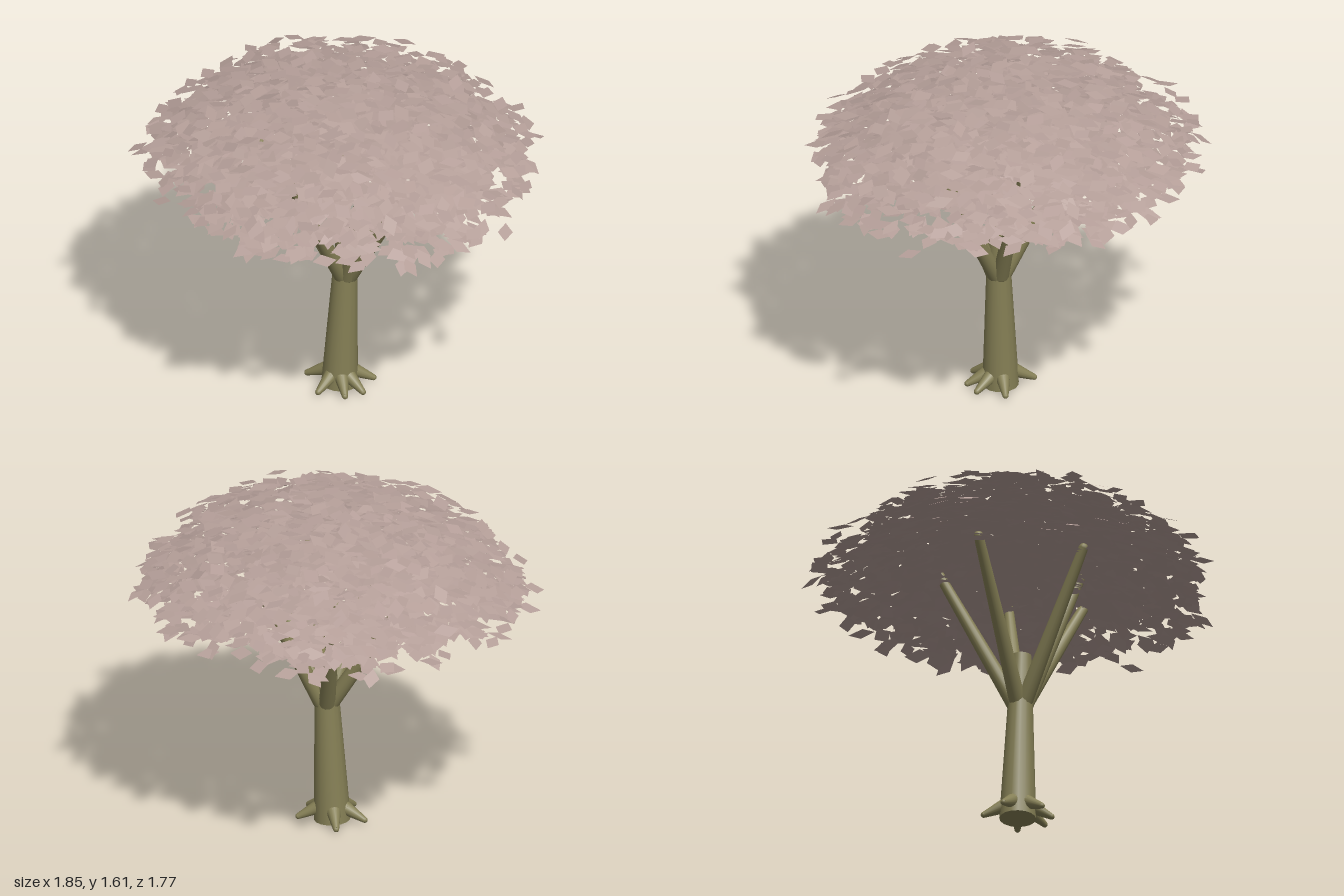
import * as THREE from 'three';
import { mergeGeometries } from 'three/addons/utils/BufferGeometryUtils.js';

const UP = new THREE.Vector3(0, 1, 0);

// Small seeded generator, 0..1
function seeded(seed) {
  return () => {
    seed = (seed + 0x6d2b79f5) | 0;
    let t = Math.imul(seed ^ (seed >>> 15), 1 | seed);
    t = (t + Math.imul(t ^ (t >>> 7), 61 | t)) ^ t;
    return ((t ^ (t >>> 14)) >>> 0) / 4294967296;
  };
}

// Tapered round limb between two points
function limb(name, from, to, r0, r1, material, roundTip = false) {
  const a = new THREE.Vector3(...from);
  const dir = new THREE.Vector3(...to).sub(a);
  const length = dir.length();
  const parts = [new THREE.CylinderGeometry(r1, r0, length, 16).translate(0, length / 2, 0)];
  if (roundTip) {
    parts.push(new THREE.SphereGeometry(r1, 12, 8).translate(0, length, 0));
    parts.push(new THREE.SphereGeometry(r0, 12, 8));
  }
  const mesh = new THREE.Mesh(mergeGeometries(parts), material);
  mesh.quaternion.setFromUnitVectors(UP, dir.normalize());
  mesh.position.copy(a);
  mesh.name = name;
  return mesh;
}

// Thousands of diamond leaves scattered through a shallow dome, tilting outward with it
function leafCanopy(count) {
  const rand = seeded(41);
  const spread = (s) => (rand() * 2 - 1) * s;
  const fuzz = (s) => spread(s) + spread(s);
  const positions = [];
  const tilt = new THREE.Quaternion();
  const spin = new THREE.Quaternion();
  const normal = new THREE.Vector3();
  while (positions.length < count * 18) {
    const r = Math.sqrt(rand());
    const angle = rand() * Math.PI * 2;
    const top = 1.6 - 0.36 * r ** 2.2;
    const bottom = 1.19 - 0.09 * r;
    const y = 1.1 + rand() * 0.5;
    if (y < bottom || y > top) continue;
    const c = Math.cos(angle), s = Math.sin(angle);
    const reach = r * (0.87 + 0.02 * Math.sin(5 * angle + 1));
    const centre = new THREE.Vector3(c * reach + fuzz(0.035), y + fuzz(0.022), s * reach * 0.95 + fuzz(0.035));
    normal.set(c * r * 0.35 + fuzz(0.14), 1, s * r * 0.35 + fuzz(0.14)).normalize();
    tilt.setFromUnitVectors(UP, normal);
    spin.setFromAxisAngle(UP, rand() * Math.PI * 2);
    const l = 0.058 + spread(0.009), w = 0.036 + spread(0.006);
    const corners = [[-l, 0], [0.1 * l, w], [l, 0], [-0.1 * l, -w]].map(
      ([x, z]) => new THREE.Vector3(x, 0, z).applyQuaternion(spin).applyQuaternion(tilt).add(centre));
    for (const i of [0, 1, 2, 0, 2, 3]) positions.push(...corners[i].toArray());
  }
  const geometry = new THREE.BufferGeometry();
  geometry.setAttribute('position', new THREE.Float32BufferAttribute(positions, 3));
  geometry.computeVertexNormals();
  return geometry;
}

export function createModel() {
  const bark = new THREE.MeshStandardMaterial({ color: 0x857f55 });
  bark.name = 'olive bark';
  const leaf = new THREE.MeshStandardMaterial({ color: 0xb59f99, side: THREE.DoubleSide });
  leaf.name = 'dusty pink leaf';

  const tree = new THREE.Group();
  tree.name = 'tree';

  // Slightly leaning trunk
  tree.add(limb('trunk', [0.01, 0, 0.01], [0.045, 0.82, 0], 0.083, 0.046, bark));

  // Branches fanning out of the trunk: tip offsets in x, z
  const branches = new THREE.Group();
  branches.name = 'branches';
  const tips = [[0, 0.39], [0.42, 0.02], [0.23, 0.15], [0.2, -0.27], [-0.27, -0.26], [-0.42, 0.14]];
  for (const [x, z] of tips) {
    const d = Math.hypot(x, z);
    const from = [0.036 + (x / d) * 0.025, 0.58, (z / d) * 0.025];
    branches.add(limb('branch', from, [0.04 + x, 1.23, z], 0.038, 0.022, bark, true));
  }
  tree.add(branches);

  // Stubby roots around the foot
  const roots = new THREE.Group();
  roots.name = 'roots';
  for (const degrees of [90, 42, 8, -45, -135, 160]) {
    const c = Math.cos(degrees * Math.PI / 180), s = Math.sin(degrees * Math.PI / 180);
    roots.add(limb('root', [0.01 + c * 0.06, 0.062, 0.01 + s * 0.06],
      [0.01 + c * 0.155, 0.016, 0.01 + s * 0.15], 0.033, 0.014, bark, true));
  }
  tree.add(roots);

  const canopy = new THREE.Mesh(leafCanopy(3000), leaf);
  canopy.name = 'leafCanopy';
  tree.add(canopy);
  return tree;
}
